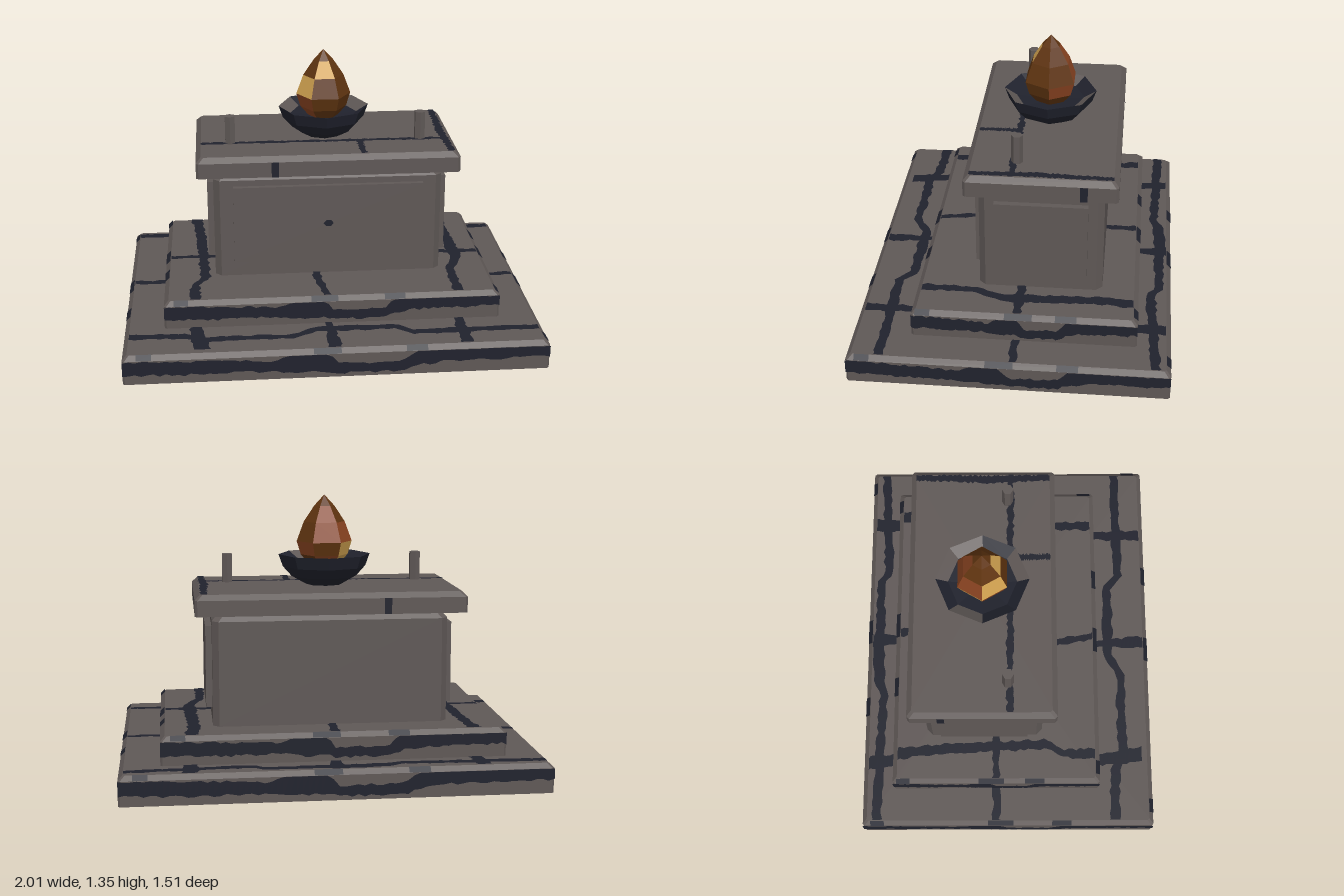
import * as THREE from 'three';

const mat = (name, color) => Object.assign(new THREE.MeshStandardMaterial({ color }), { name });

export function createModel() {
  const model = new THREE.Group();
  model.name = 'altar';
  const stone = mat('stone', 0x5f5856);
  const mortar = mat('darkMortar', 0x20222d);
  const ember = mat('emberBrown', 0x5f3410);
  const rust = mat('rustOrange', 0x8a4421);
  const gold = mat('flameGold', 0xd2a351);

  let seed = 7;
  const rand = () => (seed = (seed * 16807) % 2147483647) / 2147483647;

  const add = (parent, name, geometry, material, x = 0, y = 0, z = 0) => {
    const mesh = new THREE.Mesh(geometry, material);
    mesh.name = name;
    mesh.position.set(x, y, z);
    parent.add(mesh);
    return mesh;
  };
  const flat = (geometry) => {
    const g = geometry.toNonIndexed();
    g.computeVertexNormals();
    return g;
  };

  // Block with chamfered upright corners and a bevelled top edge
  function block(w, d, h, corner, bevel, bevelHeight) {
    const ring = (inset, y) => {
      const X = w / 2 - inset, Z = d / 2 - inset, c = corner;
      return [[X - c, Z], [X, Z - c], [X, c - Z], [X - c, -Z],
        [c - X, -Z], [-X, c - Z], [-X, Z - c], [c - X, Z]].map(([x, z]) => [x, y, z]);
    };
    const rings = [ring(0, 0), ring(0, h - bevelHeight), ring(bevel, h)];
    const pos = [];
    const tri = (...p) => p.forEach((v) => pos.push(...v));
    for (let i = 0; i < 8; i++) {
      const j = (i + 1) % 8;
      for (let k = 0; k < 2; k++) {
        const [a, b, c, e] = [rings[k][i], rings[k][j], rings[k + 1][j], rings[k + 1][i]];
        tri(a, b, c);
        tri(a, c, e);
      }
      tri([0, h, 0], rings[2][i], rings[2][j]);
      tri([0, 0, 0], rings[0][j], rings[0][i]);
    }
    const g = new THREE.BufferGeometry();
    g.setAttribute('position', new THREE.Float32BufferAttribute(pos, 3));
    g.computeVertexNormals();
    return g;
  }

  // Ragged mortar seam: points are [distance, offset, width], held inside a rectangle
  function seam(parent, points, upright, [u0, v0, u1, v1], flip = 1, widen = 1) {
    const n = 70;
    const g = new THREE.PlaneGeometry(1, 1, n, 1);
    const p = g.attributes.position;
    const first = points[0][0], last = points[points.length - 1][0];
    for (let i = 0; i < p.count; i++) {
      const t = first + (last - first) * ((i % (n + 1)) / n);
      let k = 0;
      while (k < points.length - 2 && t > points[k + 1][0]) k++;
      const a = points[k], b = points[k + 1];
      const f = THREE.MathUtils.clamp((t - a[0]) / (b[0] - a[0]), 0, 1);
      const width = (a[2] + (b[2] - a[2]) * f) * widen;
      const s = a[1] + (b[1] - a[1]) * f + (i > n ? -1 : 1) * width / 2 + (rand() - 0.5) * 0.014;
      const u = upright ? s : t;
      const v = (upright ? t : s) * flip;
      p.setXY(i, THREE.MathUtils.clamp(u, u0, u1), THREE.MathUtils.clamp(v, v0, v1));
    }
    // Turn the faces outward when the rule has mirrored the strip
    if (upright !== (flip < 0)) {
      const idx = g.index;
      for (let i = 0; i < idx.count; i += 3) {
        const q = idx.getX(i);
        idx.setX(i, idx.getX(i + 2));
        idx.setX(i + 2, q);
      }
    }
    add(parent, 'mortarSeam', g, mortar);
  }
  const face = (name, x, y, z, rx, ry) => {
    const group = new THREE.Group();
    group.name = name;
    group.position.set(x, y, z);
    group.rotation.set(rx, ry, 0);
    model.add(group);
    return group;
  };

  // Paving seams in plan, measured in x and z
  const across = [
    [[-1, -0.68, 0.05], [-0.3, -0.66, 0.04], [-0.24, -0.69, 0.06], [0.33, -0.69, 0.04], [0.4, -0.65, 0.05], [1, -0.68, 0.04]],
    [[-1, -0.06, 0.035], [-0.6, -0.06, 0.035], [0.6, -0.03, 0.04], [1, -0.02, 0.035]],
    [[-1, 0.55, 0.05], [-0.7, 0.56, 0.05], [-0.64, 0.6, 0.05], [-0.18, 0.6, 0.04], [-0.1, 0.54, 0.05], [0.3, 0.54, 0.05], [0.37, 0.6, 0.05], [1, 0.6, 0.04]],
  ];
  const along = [
    [[-0.74, -0.68, 0.07], [-0.4, -0.64, 0.05], [0.2, -0.61, 0.05], [0.28, -0.66, 0.04], [0.5, -0.66, 0.06], [0.7, -0.63, 0.08]],
    [[-0.74, 0, 0.07], [-0.5, 0, 0.04], [0.22, -0.06, 0.04], [0.5, -0.02, 0.04], [0.74, -0.01, 0.06]],
    [[-0.74, 0.68, 0.07], [-0.4, 0.65, 0.06], [0.05, 0.67, 0.06], [0.2, 0.61, 0.04], [0.74, 0.61, 0.06]],
  ];
  // Seam on a riser: share of half width, share of height, thickness share
  const riser = [[-1, 0.6, 0.5], [-0.72, 0.55, 0.5], [-0.3, 0.5, 0.38], [-0.22, 0.6, 0.75], [-0.06, 0.6, 0.75],
    [0, 0.32, 0.35], [0.3, 0.32, 0.35], [0.38, 0.62, 0.6], [0.5, 0.66, 0.45], [1, 0.66, 0.4]];

  // Two steps with seams on top and on every riser
  [['lowerStep', 2, 1.5, 0, 0.14, 0], ['upperStep', 1.62, 1.06, 0.14, 0.135, -0.06]].forEach(([name, w, d, y, h, z]) => {
    add(model, name, block(w, d, h, 0.01, 0.022, 0.022), stone, 0, y, z);
    const top = face(name + 'TopSeams', 0, y + h + 0.003, 0, -Math.PI / 2, 0);
    const X = w / 2 - 0.024, Z = d / 2 - 0.024;
    const rect = [-X, -z - Z, X, -z + Z];
    across.forEach((s) => seam(top, s, false, rect, -1));
    along.forEach((s) => seam(top, s, true, rect, -1));
    for (let i = 0; i < 4; i++) {
      const a = i * Math.PI / 2;
      const half = (i % 2 ? d : w) / 2, out = (i % 2 ? w : d) / 2 + 0.003;
      const side = face(name + 'RiserSeams', Math.sin(a) * out, y, z + Math.cos(a) * out, 0, a);
      seam(side, riser.map(([u, v, t]) => [u * half, v * h, t * h]), false, [-half, 0.004, half, h - 0.022]);
      // Seam ends that climb over the bevel
      [[-0.9, 0.07], [-0.05, 0.13], [0.37, 0.1]].forEach(([u, len]) => {
        const chip = add(side, 'bevelSeam', new THREE.PlaneGeometry(len, 0.031), mortar, u * half, h - 0.009, -0.012);
        chip.rotation.x = -Math.PI / 4;
      });
    }
  });
  const under = face('undersideSeams', 0, -0.003, 0, Math.PI / 2, 0);
  across.forEach((s) => seam(under, s, false, [-1, -0.75, 1, 0.75], 1, 2));
  along.forEach((s) => seam(under, s, true, [-1, -0.75, 1, 0.75], 1, 2));

  // Body with raised panels on the front and both sides
  add(model, 'body', block(1.12, 0.59, 0.535, 0.03, 0.03, 0.035), stone, 0, 0.275, -0.12);
  add(model, 'frontPanel', new THREE.BoxGeometry(0.93, 0.39, 0.06), stone, 0, 0.55, 0.17);
  for (const s of [1, -1]) add(model, 'sidePanel', new THREE.BoxGeometry(0.06, 0.39, 0.44), stone, s * 0.56, 0.55, -0.12);
  const mark = add(model, 'panelChip', new THREE.CircleGeometry(0.025, 6), mortar, 0, 0.55, 0.203);
  mark.scale.y = 0.7;

  // Table slab and its seams
  add(model, 'tableSlab', block(1.28, 0.715, 0.1, 0.012, 0.025, 0.025), stone, 0, 0.81, -0.122);
  const slabTop = face('slabTopSeams', 0, 0.913, 0, -Math.PI / 2, 0);
  const slabRect = [-0.615, -0.21, 0.615, 0.455];
  seam(slabTop, [[-0.62, 0.01, 0.03], [0.62, 0.015, 0.03]], false, slabRect, -1);
  seam(slabTop, [[0.01, 0.17, 0.035], [0.22, 0.17, 0.03]], true, slabRect, -1);
  seam(slabTop, [[-0.47, 0.6, 0.03], [-0.1, 0.59, 0.04], [0.22, 0.6, 0.03]], true, slabRect, -1);
  const slabEdge = (x, z, ry) => {
    const strip = add(model, 'slabEdgeSeam', new THREE.PlaneGeometry(0.035, 0.075), mortar, x, 0.848, z);
    strip.rotation.y = ry;
  };
  slabEdge(-0.26, 0.239, 0);
  slabEdge(0.643, -0.32, Math.PI / 2);
  slabEdge(-0.26, -0.483, Math.PI);
  slabEdge(-0.643, -0.32, -Math.PI / 2);

  // Candle pegs
  for (const s of [1, -1]) add(model, 'peg', flat(new THREE.CylinderGeometry(0.028, 0.028, 0.14, 6)), stone, s * 0.47, 0.98, 0);

  // Faceted lathe whose facets take a material by rule(segment, row)
  function faceted(profile, segments, start, rule) {
    const g = new THREE.LatheGeometry(profile.map(([r, y]) => new THREE.Vector2(r, y)), segments, start);
    const rows = profile.length - 1;
    // Facets touching the axis are single triangles
    let at = 0;
    g.clearGroups();
    for (let i = 0; i < segments; i++) {
      for (let j = 0; j < rows; j++) {
        g.addGroup(at, 6, rule(i, j));
        at += 6;
      }
    }
    return flat(g);
  }

  // Eight-sided fire bowl with worn patches inside
  const bowl = [[0, 0.905], [0.08, 0.905], [0.16, 0.95], [0.203, 0.998], [0.224, 1.057], [0.165, 1.02], [0, 1.0]];
  add(model, 'fireBowl', faceted(bowl, 8, 0, (i, j) => (j === 4 && [0, 2, 3, 5].includes(i) ? 1 : 0)),
    [mortar, stone], 0, 0, -0.12);

  // Six-sided flame: 0 brown, 1 rust, 2 gold
  const flame = [[0.06, 0.99], [0.115, 1.055], [0.135, 1.12], [0.1, 1.215], [0.048, 1.293], [0, 1.345]];
  const tints = ['00000', '01000', '10110', '22100', '11200', '00020'];
  add(model, 'flame', faceted(flame, 6, Math.PI / 6, (i, j) => Number(tints[i][j])), [ember, rust, gold], 0, 0, -0.12);

  return model;
}
